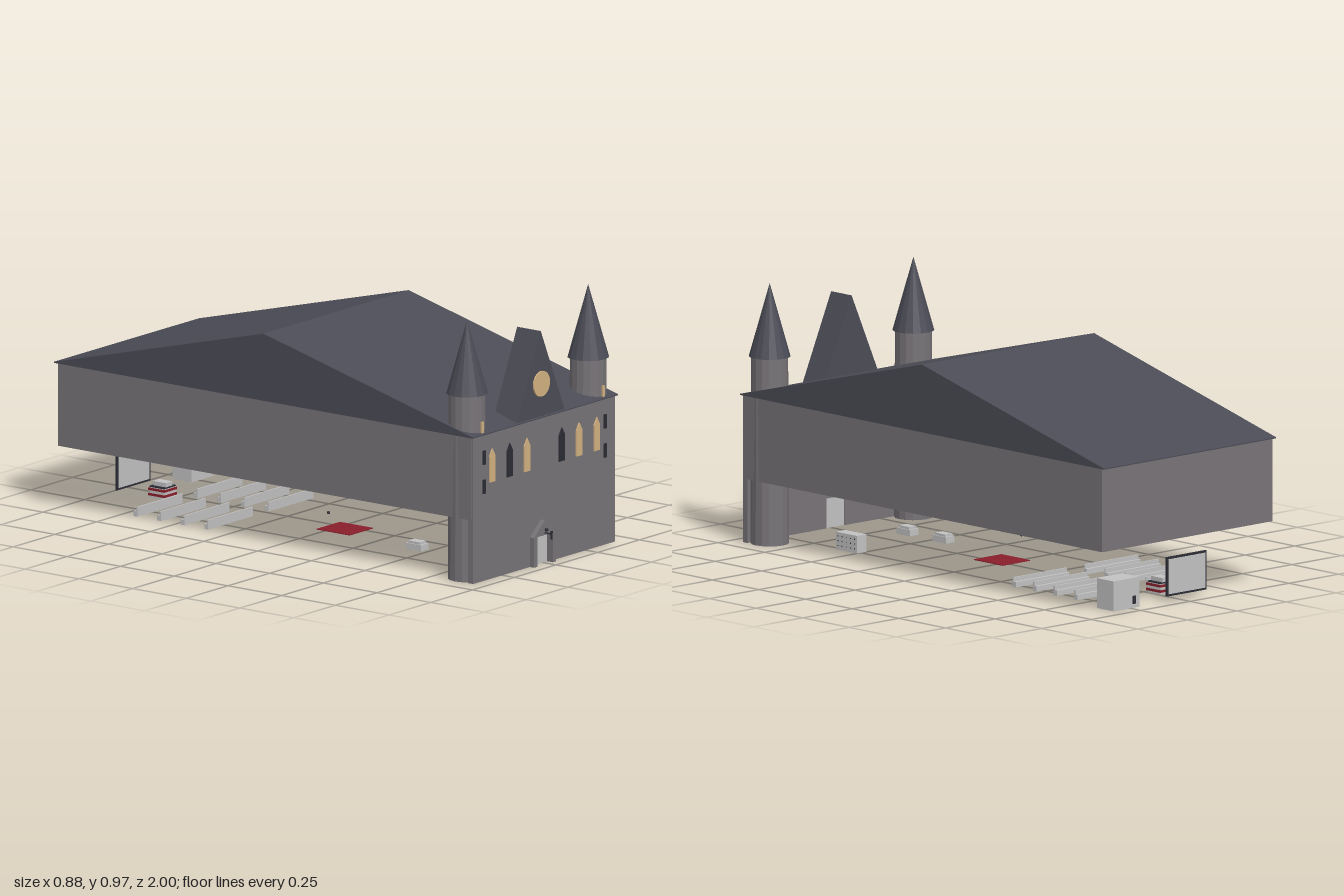
import * as THREE from 'three';

const mat = (name, color, extra = {}) => {
  const m = new THREE.MeshStandardMaterial({ color, ...extra });
  m.name = name;
  return m;
};

export function createModel() {
  const root = new THREE.Group();
  root.name = 'greatHall';
  const stone = mat('stone', 0x787478, { flatShading: true });
  const slate = mat('slate', 0x4b4c56, { flatShading: true });
  const glow = mat('litGlass', 0xd4b282);
  const dark = mat('darkGlass', 0x2c2d35);
  const pale = mat('paleGrey', 0xc2c2c2);
  const red = mat('redCloth', 0x8a1f2b);

  const add = (name, geo, material, x = 0, y = 0, z = 0, parent = root) => {
    const m = new THREE.Mesh(geo, material);
    m.name = name;
    m.position.set(x, y, z);
    parent.add(m);
    return m;
  };
  // box given by its lowest and highest corners
  const box = (name, material, x0, x1, y0, y1, z0, z1, parent = root) =>
    add(name, new THREE.BoxGeometry(x1 - x0, y1 - y0, z1 - z0), material,
      (x0 + x1) / 2, (y0 + y1) / 2, (z0 + z1) / 2, parent);
  const outline = (pts) => new THREE.Shape(pts.map(([x, y]) => new THREE.Vector2(x, y)));
  const plate = (shape, depth) => new THREE.ExtrudeGeometry(shape, { depth, bevelEnabled: false });

  // hall body and tall front wall
  box('hallBody', stone, -0.43, 0.43, 0.24, 0.553, -0.985, 0.94);
  const doorX = -0.02;
  const wallShape = outline([[-0.425, 0], [doorX - 0.046, 0], [doorX - 0.046, 0.112],
    [doorX + 0.046, 0.112], [doorX + 0.046, 0], [0.425, 0], [0.425, 0.553], [-0.425, 0.553]]);
  add('frontWall', plate(wallShape, 0.023), stone, 0, 0, 0.922);

  // main roof, ridge running across the hall
  const roof = plate(outline([[-0.952, 0.552], [1, 0.552], [1, 0.556], [0.024, 0.806], [-0.952, 0.556]]), 0.87);
  roof.rotateY(Math.PI / 2);
  add('mainRoof', roof, slate, -0.435, 0, 0);

  // front gable with round window
  add('frontGable', plate(outline([[-0.144, 0.556], [0.144, 0.556], [0, 0.88]]), 0.11), slate, doorX, 0, 0.835);
  const rose = new THREE.CylinderGeometry(0.048, 0.048, 0.008, 32);
  rose.rotateX(Math.PI / 2);
  add('roundWindow', rose, glow, doorX, 0.681, 0.947);

  // corner towers
  for (const s of [1, -1]) {
    const tower = new THREE.Group();
    tower.name = s > 0 ? 'leftTower' : 'rightTower';
    tower.position.set(s * 0.363, 0, 0.868);
    root.add(tower);
    add('towerShaft', new THREE.CylinderGeometry(0.068, 0.071, 0.7, 16), stone, 0, 0.35, 0, tower);
    add('towerSpire', new THREE.ConeGeometry(0.077, 0.274, 16), slate, 0, 0.837, 0, tower);
    box('towerLitSlit', glow, -0.006, 0.006, 0.55, 0.6, 0.066, 0.074, tower);
    for (const y of [0.33, 0.44])
      box('towerDarkSlit', dark, -0.007, 0.007, y, y + 0.053, 0.075, 0.082, tower);
  }

  // pointed windows
  const lancet = outline([[-0.017, 0.366], [0.017, 0.366], [0.017, 0.464], [0, 0.492], [-0.017, 0.464]]);
  for (const [x, lit] of [[-0.314, 1], [-0.209, 0], [-0.106, 1], [0.103, 0], [0.206, 1], [0.312, 1]])
    add('pointedWindow', plate(lancet, 0.007), lit ? glow : dark, x, 0, 0.943);

  // doorway: pointed surround, door and lantern
  const surround = outline([[-0.065, 0], [-0.046, 0], [-0.046, 0.112], [0.046, 0.112], [0.046, 0],
    [0.065, 0], [0.065, 0.112], [0, 0.168], [-0.065, 0.112]]);
  add('doorSurround', plate(surround, 0.022), stone, doorX, 0, 0.943);
  box('door', pale, doorX - 0.046, doorX + 0.046, 0, 0.112, 0.926, 0.938);
  box('lanternArm', dark, doorX - 0.002, doorX + 0.002, 0.118, 0.122, 0.96, 0.995);
  add('lanternBracket', new THREE.SphereGeometry(0.007, 10, 8), dark, doorX, 0.133, 0.972);
  add('lantern', new THREE.CylinderGeometry(0.005, 0.003, 0.03, 8), dark, doorX, 0.115, 0.995);

  // rows of benches either side of the aisle
  for (const z of [-0.36, -0.47, -0.58, -0.69])
    for (const x of [0.015, -0.345]) {
      box('benchSeat', pale, x, x + 0.27, 0, 0.02, z - 0.009, z + 0.009);
      box('benchBack', pale, x, x + 0.27, 0.02, 0.036, z + 0.003, z + 0.009);
    }

  // draped table
  box('tableBase', pale, -0.075, -0.005, 0, 0.04, -0.835, -0.765);
  for (const y of [0.008, 0.028])
    box('tableDrape', red, -0.078, -0.002, y, y + 0.009, -0.838, -0.762);
  box('tableTop', dark, -0.075, -0.005, 0.04, 0.044, -0.835, -0.765);
  box('tableStand', pale, -0.06, -0.02, 0.044, 0.06, -0.83, -0.77);

  // booth and screen at the rear
  box('rearBooth', pale, 0.205, 0.335, 0, 0.112, -0.945, -0.855);
  box('boothHatch', dark, 0.225, 0.24, 0.015, 0.045, -0.949, -0.944);
  box('screenFrame', dark, -0.13, 0.07, 0.02, 0.167, -0.95, -0.943);
  for (const z of [-0.952, -0.943])
    box('screenPanel', pale, -0.122, 0.062, 0.028, 0.159, z, z + 0.003);

  // red carpet and small lamp
  box('carpet', red, -0.1, 0.04, 0, 0.003, -0.037, 0.117);
  add('smallLamp', new THREE.SphereGeometry(0.006, 8, 6), dark, -0.13, 0.082, 0.042);

  // studded cabinet and two low seats
  box('cabinet', pale, 0.22, 0.27, 0, 0.066, 0.5, 0.612);
  for (let i = 0; i < 5; i++)
    for (let j = 0; j < 3; j++)
      for (const x of [0.219, 0.268])
        box('cabinetStud', dark, x, x + 0.003, 0.014 + j * 0.018, 0.018 + j * 0.018,
          0.51 + i * 0.022, 0.514 + i * 0.022);
  for (const z of [0.445, 0.638]) {
    box('seatBase', pale, -0.14, -0.095, 0, 0.024, z - 0.035, z + 0.035);
    box('seatCushion', pale, -0.136, -0.099, 0.024, 0.033, z - 0.027, z + 0.027);
  }
  return root;
}
